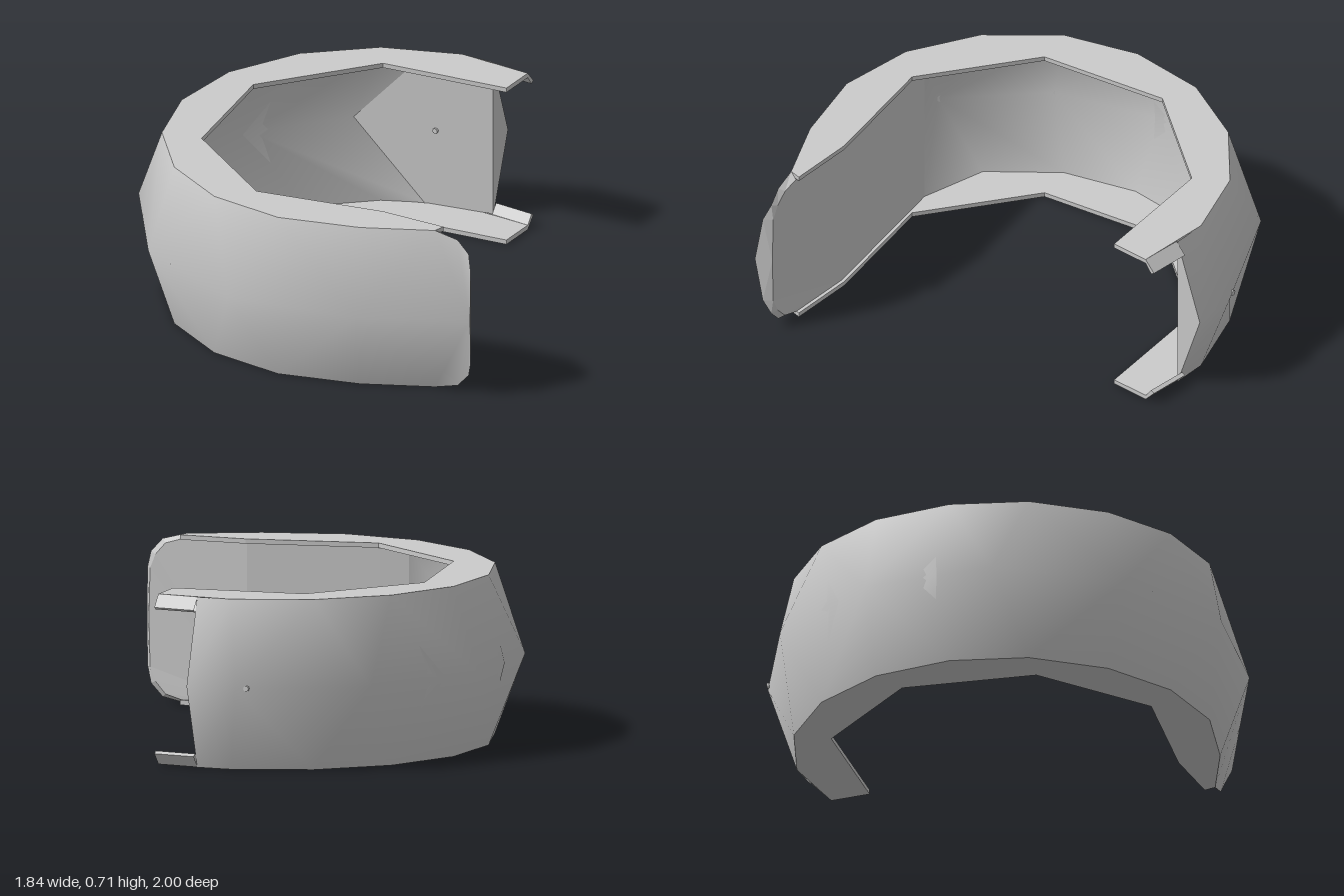
import * as THREE from 'three';

const H = 0.71, MID = H / 2, T = 0.02;
const material = new THREE.MeshStandardMaterial({ color: 0xcccccc, side: THREE.DoubleSide });

// Plan outlines as [x, z], running from the front tip round to the back end
const rim = [[0.73, 0.655], [0.45, 0.79], [0.11, 0.88], [-0.22, 0.84], [-0.51, 0.68], [-0.73, 0.415],
  [-0.825, 0.1], [-0.8, -0.235], [-0.645, -0.54], [-0.39, -0.765], [-0.07, -0.88]];
const ridge = [[0.92, 0.69], [0.5, 0.9], [-0.06, 1], [-0.575, 0.78], [-0.9, 0.32],
  [-0.915, -0.24], [-0.63, -0.73], [-0.13, -0.985], [0.08, -1]];
const lip = [[0.26, -0.69], [-0.3, -0.635], [-0.65, -0.18], [-0.56, 0.38], [-0.1, 0.705], [0.45, 0.605], [0.74, 0.605]];
const wallRim = [[-0.22, 0.74], [-0.51, 0.67], [-0.72, 0.41], [-0.81, 0.1], [-0.785, -0.23],
  [-0.635, -0.53], [-0.385, -0.755], [-0.22, -0.83]];
const wallMid = [[-0.22, 0.74], [-0.43, 0.845], [-0.77, 0.505], [-0.915, 0.05], [-0.82, -0.43], [-0.53, -0.78]];
// Rounded corner of the tip as [x, y, z], upper half
const corner = [[0.905, 0.56, 0.66], [0.88, 0.63, 0.635], [0.83, 0.685, 0.64]];

const at = (path, y) => path.map(([x, z]) => [x, y, z]);
const flip = (path) => path.map(([x, y, z]) => [x, H - y, z]);

// Running length of a path, scaled to 0..1
function lengths(path) {
  const d = [0];
  for (let i = 1; i < path.length; i++) {
    d.push(d[i - 1] + Math.hypot(...path[i].map((v, k) => v - path[i - 1][k])));
  }
  return d.map((v) => v / d[d.length - 1]);
}

// Skin over neighbouring paths, which may have different point counts
function skin(paths, smooth = true) {
  const index = [];
  let start = 0;
  for (let p = 0; p + 1 < paths.length; p++) {
    const a = paths[p], b = paths[p + 1], la = lengths(a), lb = lengths(b);
    const next = start + a.length;
    let i = 0, j = 0;
    while (i < a.length - 1 || j < b.length - 1) {
      const stepA = j === b.length - 1 || (i < a.length - 1 && la[i + 1] <= lb[j + 1]);
      index.push(start + i, next + j, stepA ? start + i + 1 : next + j + 1);
      if (stepA) i++; else j++;
    }
    start = next;
  }
  return surface(paths.flat(), index, smooth);
}

function surface(points, index, smooth = false) {
  let g = new THREE.BufferGeometry();
  g.setAttribute('position', new THREE.Float32BufferAttribute(points.flat(), 3));
  g.setIndex(index);
  if (!smooth) g = g.toNonIndexed();
  g.computeVertexNormals();
  return g;
}

// Flat polygon as a fan
function fan(points) {
  const index = [];
  for (let i = 1; i + 1 < points.length; i++) index.push(0, i, i + 1);
  return surface(points, index);
}

export function createModel() {
  const group = new THREE.Group();
  const add = (name, geometry) => {
    const mesh = new THREE.Mesh(geometry, material);
    mesh.name = name;
    group.add(mesh);
    return mesh;
  };

  // Outer shell with a ridge at mid height
  const top = [...corner, ...at([...rim, [0.08, -0.88]], H)];
  add('outerShell', skin([flip(top), at(ridge, MID), top]));

  // Inner wall of the closed side
  add('innerWall', skin([at(wallRim, T), at(wallMid, MID), at(wallRim, H - T)]));

  // Flat panel inside the back end, and the end face of the shell
  add('backPanel', fan([[0.08, T, -0.88], [0.08, H - T, -0.88], [-0.22, H - T, -0.83],
    [-0.53, MID, -0.78], [-0.22, T, -0.83]]));
  add('backEndFace', fan([[0.08, 0, -0.88], [0.08, H, -0.88], [0.08, MID, -1]]));

  // Flat panels inside the front end
  add('frontPanel', skin([at([[-0.22, 0.74], [-0.1, 0.718], [0.45, 0.62]], T),
    at([[-0.22, 0.74], [-0.1, 0.718], [0.45, 0.62]], H - T)], false));
  const outerEdge = [[0.73, H, 0.655], ...corner.slice().reverse(), [0.92, MID, 0.69],
    ...flip(corner), [0.73, 0, 0.655]];
  const innerEdge = [[0.74, H - T, 0.62], [0.81, 0.67, 0.62], [0.855, 0.62, 0.622], [0.88, 0.56, 0.625],
    [0.885, MID, 0.625], [0.88, H - 0.56, 0.625], [0.855, H - 0.62, 0.622], [0.81, H - 0.67, 0.62], [0.74, T, 0.62]];
  add('frontTipPanel', fan([[0.45, T, 0.62], [0.45, H - T, 0.62], ...innerEdge]));
  add('frontTipEdge', skin([outerEdge, innerEdge], false));

  // Rim plates and back flanges, top and bottom
  const outline = [...rim, [0.26, -0.86], ...lip].map(([x, z]) => new THREE.Vector2(x, -z));
  const plate = new THREE.ExtrudeGeometry(new THREE.Shape(outline), { depth: T, bevelEnabled: false });
  plate.rotateX(-Math.PI / 2);
  const flange = (x, z) => [[x, H, z], [x, H - 0.05, z - 0.045], [x, H - 0.06, z - 0.03], [x, H - T, z], [x, H, z]];
  const strip = [flange(0.08, -0.875), flange(0.26, -0.86)];
  for (const [side, y] of [['bottom', 0], ['top', H - T]]) {
    add(side + 'RimPlate', plate).position.y = y;
    const ends = y ? strip : strip.map(flip);
    add(side + 'Flange', skin(ends, false));
    add(side + 'FlangeEnd', fan(ends[1].slice(0, 4)));
  }

  // Small pin through the back panel
  const pin = add('pin', new THREE.CylinderGeometry(0.012, 0.012, 0.14, 8));
  pin.rotation.x = Math.PI / 2;
  pin.position.set(-0.17, MID, -0.9);
  return group;
}
